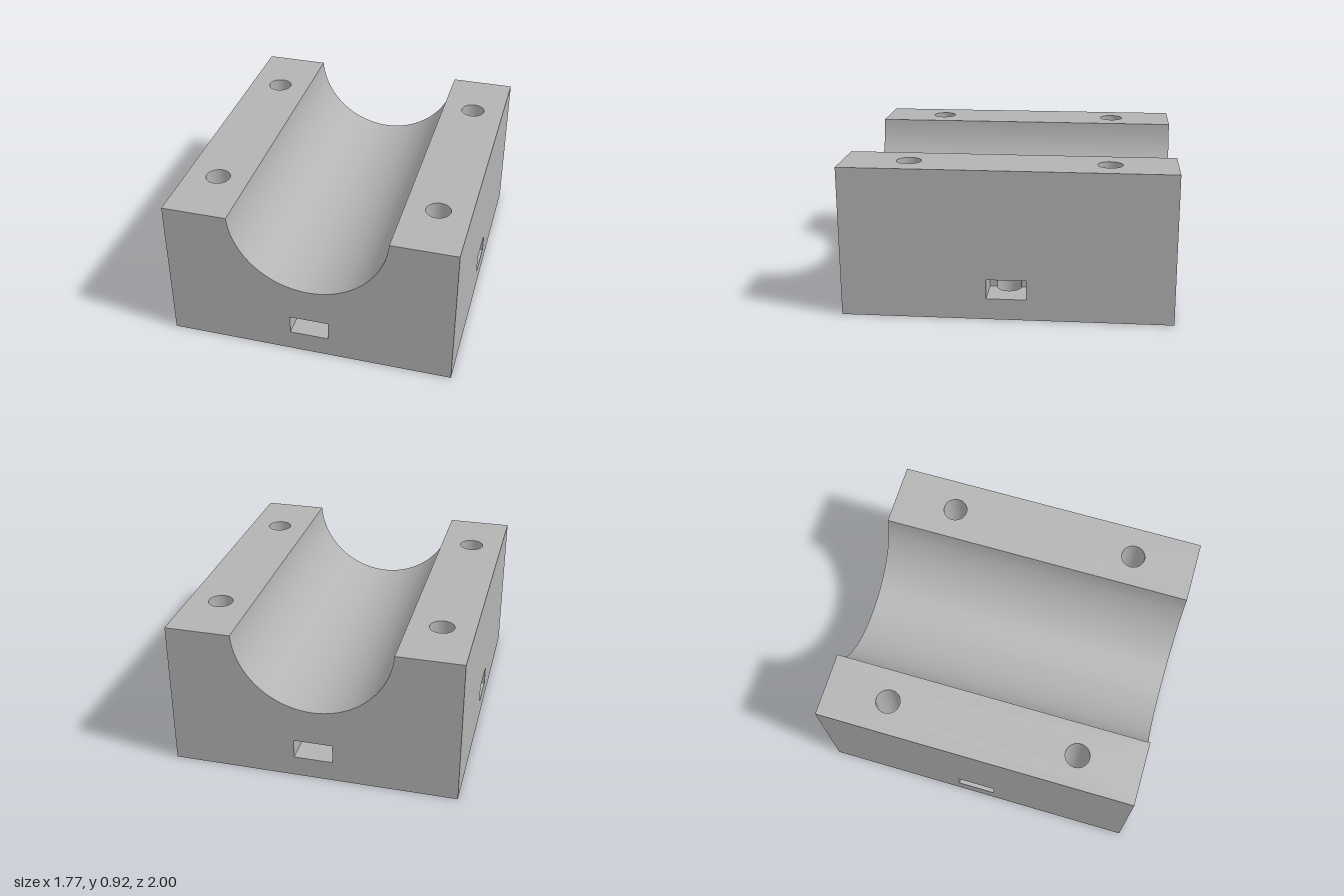
import * as THREE from 'three';
import { toCreasedNormals } from 'three/addons/utils/BufferGeometryUtils.js';

const W = 0.885, H = 0.92, D = 1;                  // half width, height, half depth
const CHANNEL = { edge: 0.485, floor: 0.468 };     // saddle opening and lowest point
const BOLT = { x: 0.685, z: 0.6, r: 0.075, hexR: 0.139, hexDepth: 0.2 };
const SLOT = { axis: 0.67, half: 0.12, y0: 0.13, y1: 0.25, r: 0.073, top: 0.36 };

const V = (x, y) => new THREE.Vector2(x, y);

// Points on an arc; a falling angle makes walls that face the arc's centre
function arc(cx, cy, r, a0, a1, n) {
  return Array.from({ length: n + 1 }, (_, i) => {
    const a = a0 + (a1 - a0) * i / n;
    return V(cx + r * Math.cos(a), cy + r * Math.sin(a));
  });
}
const ring = (cx, cy, r, n) => arc(cx, cy, r, 0, -2 * Math.PI, n);
const rect = (x0, y0, x1, y1) => [V(x0, y0), V(x1, y0), V(x1, y1), V(x0, y1)];

// Flat plate with holes
function plate(outline, holes = []) {
  const s = new THREE.Shape(outline);
  s.holes = holes.map(h => new THREE.Path(h));
  return new THREE.ShapeGeometry(s);
}

// Wall swept along +z from a line of points, facing right of travel
function wall(points, z0, z1) {
  const n = points.length;
  const g = new THREE.PlaneGeometry(1, 1, n - 1, 1);
  const p = g.attributes.position;
  for (let i = 0; i < p.count; i++) {
    const q = points[i % n];
    p.setXYZ(i, q.x, q.y, i < n ? z1 : z0);
  }
  return toCreasedNormals(g, 0.6);
}

// Turn plan geometry (x, -z) into upright position
const upright = g => g.rotateX(-Math.PI / 2);
const facingUp = (g, y) => upright(g).translate(0, y, 0);
const facingDown = (g, y) => upright(g).rotateZ(Math.PI).translate(0, y, 0);

export function createModel() {
  const model = new THREE.Group();
  model.name = 'bearingBlock';
  const grey = new THREE.MeshStandardMaterial({ color: 0xb3b3b3, side: THREE.DoubleSide });
  grey.name = 'grey';
  const add = (parent, name, geometry) => {
    const m = new THREE.Mesh(geometry, grey);
    m.name = name;
    parent.add(m);
    return m;
  };

  // Half-round channel, sweeping from the right edge to the left edge
  const { edge, floor } = CHANNEL;
  const depth = H - floor;
  const R = (edge * edge + depth * depth) / (2 * depth);
  const cy = floor + R;
  const a = Math.atan2(H - cy, edge);
  const curve = arc(0, cy, R, a, -Math.PI - a, 64);
  add(model, 'channel', wall(curve, -D, D));

  // Front and back faces with nut slots
  const slotMouth = rect(-SLOT.half, SLOT.y0, SLOT.half, SLOT.y1);
  const profile = [V(-W, 0), V(W, 0), V(W, H), ...curve, V(-W, H)];
  add(model, 'frontFace', plate(profile, [slotMouth]).translate(0, 0, D));
  add(model, 'backFace', plate(profile, [slotMouth]).translate(0, 0, D).rotateY(Math.PI));

  // Sides and top lands
  for (const s of [1, -1]) {
    const side = s > 0 ? 'left' : 'right';
    add(model, side + 'Side', plate(rect(-D, 0, D, H), [slotMouth])
      .translate(0, 0, W).rotateY(s * Math.PI / 2));
    const holes = [1, -1].map(t => ring(s * BOLT.x, t * BOLT.z, BOLT.r, 40));
    const xs = s > 0 ? [edge, W] : [-W, -edge];
    add(model, side + 'TopLand', facingUp(plate(rect(xs[0], -D, xs[1], D), holes), H));
  }

  // Underside with hex pockets and screw holes
  const openings = [];
  for (const s of [1, -1]) {
    for (const t of [1, -1]) openings.push(ring(s * BOLT.x, t * BOLT.z, BOLT.hexR, 6));
    openings.push(ring(s * SLOT.axis, 0, SLOT.r, 32), ring(0, s * SLOT.axis, SLOT.r, 32));
  }
  add(model, 'underside', facingDown(plate(rect(-W, -D, W, D), openings), 0));

  // Through bolt holes ending in hex nut pockets
  for (const s of [1, -1]) for (const t of [1, -1]) {
    const g = new THREE.Group();
    g.name = 'boltHole';
    g.position.set(s * BOLT.x, 0, t * BOLT.z);
    const hex = ring(0, 0, BOLT.hexR, 6), bore = ring(0, 0, BOLT.r, 40);
    add(g, 'bore', upright(wall(bore, BOLT.hexDepth, H)));
    add(g, 'hexPocket', upright(wall(hex, 0, BOLT.hexDepth)));
    add(g, 'hexPocketCeiling', facingDown(plate(hex, [bore]), BOLT.hexDepth));
    model.add(g);
  }

  // Side nut slots, each crossed by a blind screw hole from below
  const { half, r, y0, y1, top } = SLOT;
  for (let i = 0; i < 4; i++) {
    const turn = i * Math.PI / 2;
    const len = (i % 2 ? W : D) - SLOT.axis;
    const g = new THREE.Group();
    g.name = 'nutSlot';
    g.rotation.y = turn;
    g.position.set(-Math.sin(turn) * SLOT.axis, 0, -Math.cos(turn) * SLOT.axis);
    const outline = bend => [V(half, len), V(half, 0),
      ...arc(0, 0, r, 0, bend * Math.PI, 24), V(-half, 0), V(-half, len)];
    const bore = ring(0, 0, r, 32);
    add(g, 'slotWalls', upright(wall(outline(-1), y0, y1)));
    add(g, 'slotFloor', facingUp(plate(outline(1)), y0));
    add(g, 'slotCeiling', facingDown(plate(outline(1)).rotateZ(0), y1));
    add(g, 'lowerBore', upright(wall(bore, 0, y0)));
    add(g, 'upperBore', upright(wall(bore, y1, top)));
    add(g, 'boreEnd', facingDown(plate(bore), top));
    model.add(g);
  }
  return model;
}
